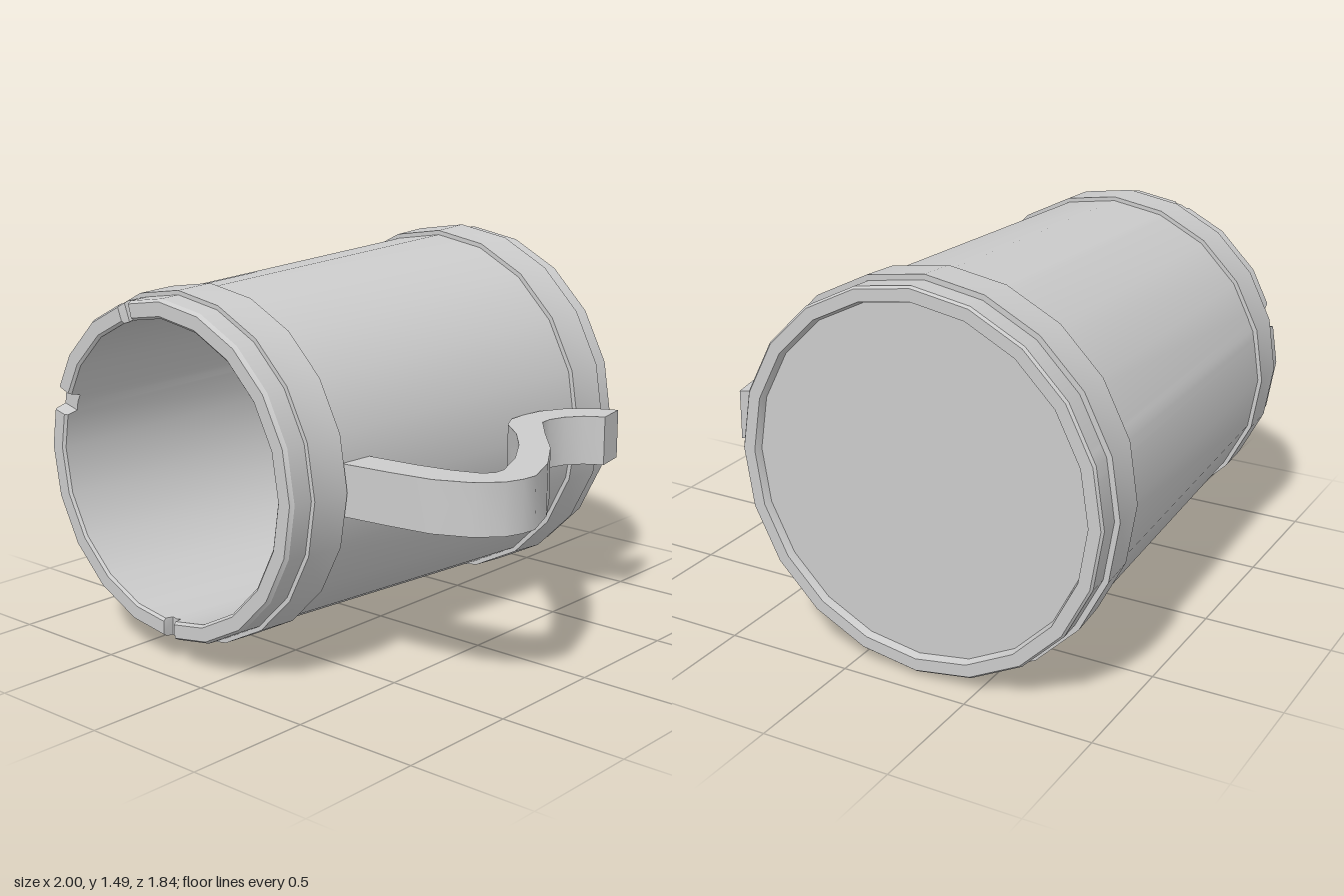
import * as THREE from 'three';
import { toCreasedNormals } from 'three/addons/utils/BufferGeometryUtils.js';

const SIDES = 20;
const STEP = 360 / SIDES;
const CX = -0.253, CY = 0.75;
const RIM = 0.92;

// Chips in the rim: centre angle, half width (degrees), depth
const CHIPS = [[108, 2.8, 0.03], [162, 4.5, 0.055], [270, 2.8, 0.04]];

const material = () => new THREE.MeshStandardMaterial({ color: 0xcccccc });

// Turns an [r, z] profile round the z axis as a 20-sided form, with optional rim chips
function turn(profile, chips = []) {
  const angles = [];
  for (let i = 0; i < SIDES; i++) angles.push([i * STEP, 0]);
  for (const [mid, half, depth] of chips) {
    angles.find(a => a[0] === mid)[1] = depth;
    for (const s of [-1, 1]) angles.push([mid + s * half, 0], [mid + s * half * 0.75, depth]);
  }
  angles.sort((a, b) => a[0] - b[0]);

  const point = ([r, z], [deg, depth]) => {
    // keep added angles on the straight sides of the polygon
    const off = THREE.MathUtils.degToRad(deg % STEP - STEP / 2);
    const R = r * Math.cos(Math.PI / SIDES) / Math.cos(off);
    const a = THREE.MathUtils.degToRad(deg);
    return [R * Math.cos(a), R * Math.sin(a), depth ? Math.min(z, RIM - depth) : z];
  };

  const pos = [];
  for (let i = 0; i < profile.length - 1; i++) {
    const p = profile[i], q = profile[i + 1];
    angles.forEach((a0, j) => {
      const a1 = angles[(j + 1) % angles.length];
      const a = point(p, a0), b = point(p, a1), c = point(q, a1), d = point(q, a0);
      if (p[0] > 0) pos.push(...a, ...b, ...c);
      if (q[0] > 0) pos.push(...a, ...c, ...d);
    });
  }
  const geo = new THREE.BufferGeometry();
  geo.setAttribute('position', new THREE.Float32BufferAttribute(pos, 3));
  return toCreasedNormals(geo, 0.5);
}

export function createModel() {
  const group = new THREE.Group();
  const add = (name, geo, x, y) => {
    const mesh = new THREE.Mesh(geo, material());
    mesh.name = name;
    mesh.position.set(x, y, 0);
    group.add(mesh);
  };

  // Hollow tapered cup lying on its side, with a recessed base and chipped rim
  add('cup', turn([
    [0, -0.89], [0.665, -0.89], [0.675, -0.92], [0.722, -0.92], [0.73, -0.91],
    [0.648, 0.905], [0.638, RIM], [0.585, RIM], [0.575, 0.91],
    [0.645, -0.85], [0, -0.85],
  ], CHIPS), CX, CY);

  // Raised bands near the base and the rim
  add('baseBand', turn([
    [0.7, -0.825], [0.747, -0.825], [0.737, -0.665], [0.69, -0.665],
  ]), CX, CY);
  add('rimBand', turn([
    [0.63, 0.665], [0.675, 0.665], [0.668, 0.825], [0.62, 0.825],
  ]), CX, CY);

  // Curved handle, an x/z outline extruded in height
  const outline = [
    [0.37, 0.66], [0.59, 0.636], [0.76, 0.61], [0.89, 0.55], [0.97, 0.47],
    [0.995, 0.4], [1, 0.336], [0.935, 0.176], [0.817, -0.005], [0.673, -0.171],
    [0.566, -0.304], [0.561, -0.358], [0.582, -0.427], [0.63, -0.491], [0.7, -0.534],
    [0.673, -0.668], [0.588, -0.63], [0.497, -0.545], [0.449, -0.449], [0.438, -0.347],
    [0.443, -0.267], [0.486, -0.187], [0.598, -0.091], [0.705, 0.037], [0.807, 0.198],
    [0.87, 0.347], [0.87, 0.395], [0.839, 0.433], [0.737, 0.47], [0.593, 0.497], [0.37, 0.52],
  ];
  const shape = new THREE.Shape(outline.map(([x, z]) => new THREE.Vector2(x, z)));
  const handle = new THREE.ExtrudeGeometry(shape, { depth: 0.195, bevelEnabled: false });
  handle.rotateX(Math.PI / 2);
  add('handle', toCreasedNormals(handle, 0.6), 0, 0.85);

  return group;
}
